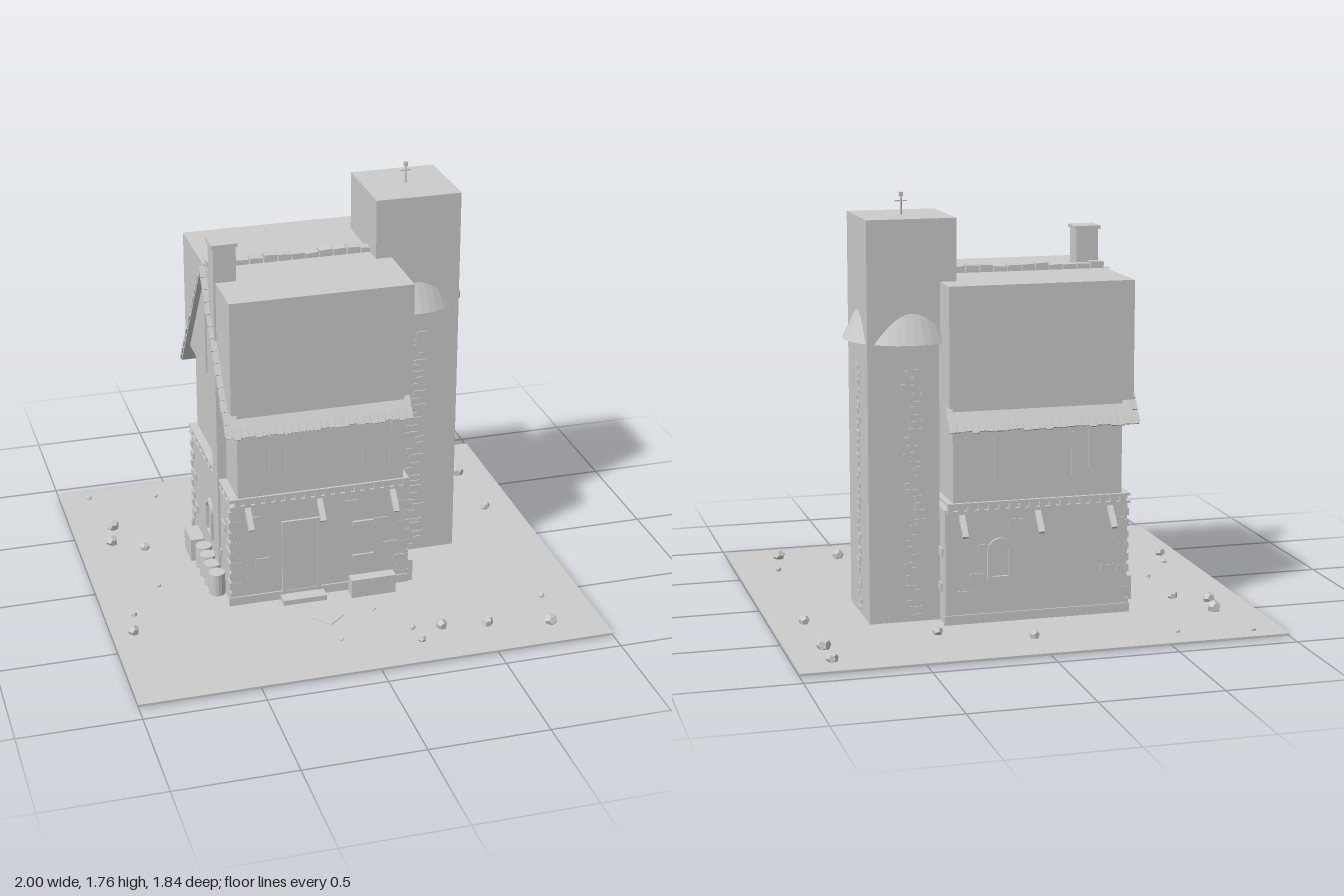
import * as THREE from 'three';

export function createModel() {
  const model = new THREE.Group();
  const stone = new THREE.MeshStandardMaterial({ color: 0xcccccc, flatShading: true, side: THREE.DoubleSide });
  stone.name = 'pale grey';

  let seed = 7;
  const rnd = (a = 0, b = 1) => {
    seed = (seed * 16807) % 2147483647;
    return a + (b - a) * (seed / 2147483647);
  };
  const add = (name, geo, x = 0, y = 0, z = 0, parent = model) => {
    const m = new THREE.Mesh(geo, stone);
    m.name = name;
    m.position.set(x, y, z);
    parent.add(m);
    return m;
  };
  // Box given by its limits on each axis
  const box = (name, x0, x1, y0, y1, z0, z1, parent = model) =>
    add(name, new THREE.BoxGeometry(x1 - x0, y1 - y0, z1 - z0), (x0 + x1) / 2, (y0 + y1) / 2, (z0 + z1) / 2, parent);
  const group = (name) => {
    const g = new THREE.Group();
    g.name = name;
    model.add(g);
    return g;
  };

  // Ground
  box('ground', -1, 1, 0.012, 0.022, -0.925, 0.917);

  // House walls
  box('lowerStorey', -0.465, 0.31, 0.015, 0.5, -0.45, 0.27);
  box('upperStorey', -0.435, 0.28, 0.5, 0.95, -0.46, 0.285);
  box('floorBand', -0.47, 0.305, 0.49, 0.5, -0.475, 0.295);
  box('upperSill', -0.47, 0.305, 0.522, 0.532, -0.475, 0.295);
  box('plinthFront', -0.475, 0.315, 0.02, 0.06, 0.26, 0.277);
  box('plinthBack', -0.475, 0.315, 0.02, 0.06, -0.457, -0.44);
  box('plinthRight', 0.3, 0.335, 0.02, 0.12, 0.02, 0.27);

  // Joist ends between the two bands, and slanted struts
  const joists = group('joistEnds');
  for (const z of [0.283, -0.463])
    for (let i = 0; i < 18; i++) {
      const x = -0.45 + i * 0.043;
      box('joistEnd', x, x + 0.024, 0.5, 0.522, z - 0.012, z + 0.012, joists);
    }
  for (let i = 0; i < 11; i++) {
    const z = -0.44 + i * 0.068;
    box('joistEndLeft', -0.468, -0.43, 0.5, 0.522, z, z + 0.024, joists);
  }
  for (const x of [-0.39, -0.08, 0.24])
    for (const s of [1, -1]) {
      const m = add('strut', new THREE.BoxGeometry(0.024, 0.1, 0.016), x, 0.437, s > 0 ? 0.298 : -0.478);
      m.rotation.x = -s * 0.72;
    }

  // Gabled roof skin, rising to the ridge
  const profile = new THREE.Shape([
    [0.33, 0.835], [-0.1, 1.42], [-0.51, 0.835], [-0.49, 0.835], [-0.1, 1.39], [0.31, 0.835],
  ].map(([z, y]) => new THREE.Vector2(z, y)));
  const roof = new THREE.ExtrudeGeometry(profile, { depth: 0.795, bevelEnabled: false });
  roof.rotateY(-Math.PI / 2);
  add('roofSkin', roof, 0.305, 0, 0);
  // Roof blocks on both sides of the ridge
  box('roofBlockFront', -0.467, 0.305, 0.93, 1.42, -0.088, 0.32);
  box('roofBlockBack', -0.467, 0.305, 0.93, 1.42, -0.508, -0.12);
  // Ragged eave tiles
  const eaves = group('eaveTiles');
  for (const s of [1, -1])
    for (let i = 0; i < 26; i++) {
      const m = add('eaveTile', new THREE.BoxGeometry(0.027, rnd(0.03, 0.05), 0.008),
        -0.475 + i * 0.0306, 0.848, s > 0 ? 0.325 : -0.505, eaves);
      m.rotation.x = -s * 0.62;
    }
  // Verge tiles along the left gable
  for (const s of [1, -1])
    for (let i = 0; i < 14; i++) {
      const t = (i + 0.5) / 14;
      const m = add('vergeTile', new THREE.BoxGeometry(0.022, 0.042, 0.014),
        -0.482 + rnd(-0.004, 0.004), 1.42 - t * 0.585, -0.1 + s * t * (s > 0 ? 0.43 : 0.41), eaves);
      m.rotation.x = -s * 0.62;
    }
  // Ridge tiles
  const ridge = group('ridgeTiles');
  for (let i = 0; i < 12; i++) {
    const x = -0.46 + i * 0.06;
    const m = box('ridgeTile', x, x + 0.055, 1.405, 1.44 + rnd(0, 0.01), -0.125, -0.075, ridge);
    m.rotation.z = rnd(-0.08, 0.08);
  }

  // Chimney
  box('chimneyStack', -0.475, -0.38, 0.02, 1.575, 0, 0.09);
  box('chimneyCap', -0.483, -0.373, 1.57, 1.585, -0.008, 0.098);

  // Tower, its conical roof and the block around it
  const tx = 0.42, tz = -0.175;
  box('towerBody', 0.31, 0.605, 0.015, 1.175, -0.36, 0.01);
  add('towerCone', new THREE.CylinderGeometry(0.004, 0.243, 0.5, 40, 1, true), tx, 1.425, tz);
  box('towerRoofBlock', 0.237, 0.605, 1.175, 1.675, -0.36, 0.01);
  add('finialRod', new THREE.CylinderGeometry(0.004, 0.004, 0.09, 8), tx, 1.715, tz);
  add('finialKnob', new THREE.BoxGeometry(0.016, 0.018, 0.016), tx, 1.757, tz);
  add('finialBar', new THREE.BoxGeometry(0.05, 0.005, 0.005), tx, 1.73, tz);

  // Proud stones up the middle of the tower faces
  const stones = group('towerStones');
  for (let i = 0; i < 34; i++) {
    const y = 0.04 + i * 0.0305;
    const off = () => rnd(-0.025, 0.025);
    const w = () => rnd(0.012, 0.03);
    const h = rnd(0.012, 0.026);
    let o = tx + off(), k = w();
    box('stoneFront', o - k, o + k, y, y + h, 0.008, 0.015, stones);
    o = tx + off(); k = w();
    box('stoneBack', o - k, o + k, y, y + h, -0.365, -0.358, stones);
    o = tz + off(); k = w();
    box('stoneRight', 0.603, 0.61, y, y + h, o - k, o + k, stones);
  }

  // Loose masonry blocks on the house walls
  const blocks = group('wallStones');
  for (const [x, y] of [[0.16, 0.32], [0.2, 0.2], [-0.4, 0.4], [-0.36, 0.2], [0.03, 0.42], [0.25, 0.13]]) {
    box('wallStoneFront', x, x + 0.06, y, y + 0.03, 0.265, 0.275, blocks);
    box('wallStoneBack', x - 0.05, x + 0.01, y, y + 0.03, -0.455, -0.445, blocks);
  }
  for (const [z, y] of [[0.05, 0.17], [0.13, 0.33], [0.2, 0.24], [-0.42, 0.3], [-0.4, 0.15]]) {
    box('wallStoneRight', 0.305, 0.316, y, y + 0.035, z, z + 0.06, blocks);
    box('wallStoneLeft', -0.471, -0.46, y, y + 0.035, z, z + 0.06, blocks);
  }
  // Corner stones
  for (let i = 0; i < 9; i++) {
    const y = 0.05 + i * 0.048, d = i % 2 ? 0.05 : 0.025;
    for (const z of [0.272 - d, -0.452])
      box('cornerStone', -0.472, -0.472 + d, y, y + 0.03, z, z + d, blocks);
    box('cornerStone', 0.314 - d, 0.314, y, y + 0.03, 0.272 - d, 0.272, blocks);
  }

  // Door with frame and step
  box('door', -0.235, -0.09, 0.03, 0.38, 0.265, 0.274);
  for (const x of [-0.245, -0.09]) box('doorPost', x, x + 0.012, 0.03, 0.39, 0.265, 0.281);
  box('doorLintel', -0.245, -0.078, 0.38, 0.392, 0.265, 0.281);
  box('doorStep', -0.255, -0.065, 0.02, 0.045, 0.27, 0.335);
  // Front window
  box('windowPane', 0.08, 0.14, 0.18, 0.33, 0.265, 0.273);
  for (const y of [0.17, 0.33]) box('windowStone', 0.065, 0.155, y, y + 0.018, 0.265, 0.282);

  // Arched openings on the back and left walls
  const archShape = new THREE.Shape();
  archShape.moveTo(-0.055, 0).lineTo(0.055, 0).lineTo(0.055, 0.12).absarc(0, 0.12, 0.055, 0, Math.PI, false);
  const hole = new THREE.Path();
  hole.moveTo(-0.035, 0.015).lineTo(0.035, 0.015).lineTo(0.035, 0.12).absarc(0, 0.12, 0.035, 0, Math.PI, false);
  archShape.holes.push(hole);
  const arch = new THREE.ExtrudeGeometry(archShape, { depth: 0.014, bevelEnabled: false, curveSegments: 8 });
  add('archBack', arch, 0.08, 0.2, -0.462);
  add('archLeft', arch, -0.477, 0.17, -0.1).rotation.y = Math.PI / 2;

  // Framing lines on the upper storey
  for (const x of [-0.3, -0.23, 0.1, 0.22])
    for (const z of [0.285, -0.46]) box('timber', x, x + 0.01, 0.62, 0.8, z - 0.004, z + 0.004);

  // Bench, crate and barrels
  box('bench', 0.04, 0.235, 0.02, 0.105, 0.3, 0.35);
  box('crate', -0.545, -0.485, 0.02, 0.125, -0.28, -0.15);
  for (const z of [-0.1, -0.018, 0.064, 0.146])
    add('barrel', new THREE.CylinderGeometry(0.036, 0.036, 0.1, 16), -0.5, 0.072, z);

  // Paving slabs by the door
  for (const [x, z, s] of [[-0.1, 0.47, 0.1], [-0.1, 0.66, 0.02], [0.1, 0.46, 0.02]])
    add('pavingSlab', new THREE.BoxGeometry(s, 0.004, s), x, 0.023, z).rotation.y = 0.7;

  // Scattered rocks: x, z, size
  const rocks = group('rocks');
  for (const [x, z, s] of [
    [-0.87, -0.85, 0.012], [-0.57, -0.79, 0.01], [0.01, -0.71, 0.022], [0.85, -0.8, 0.025], [0.85, -0.63, 0.03],
    [0.37, -0.56, 0.022], [-0.82, -0.54, 0.03], [-0.85, -0.4, 0.028], [-0.72, -0.31, 0.022], [0.86, -0.27, 0.023],
    [-0.73, 0.03, 0.011], [-0.88, 0.24, 0.013], [-0.91, 0.38, 0.025], [0.82, 0.56, 0.013], [0.33, 0.68, 0.025],
    [0.52, 0.71, 0.026], [0.22, 0.76, 0.017], [0.78, 0.77, 0.028], [0.21, 0.66, 0.013],
  ]) {
    const m = add('rock', new THREE.DodecahedronGeometry(s), x, 0.02 + s * 0.6, z, rocks);
    m.rotation.set(rnd(0, 3), rnd(0, 3), rnd(0, 3));
  }
  return model;
}
